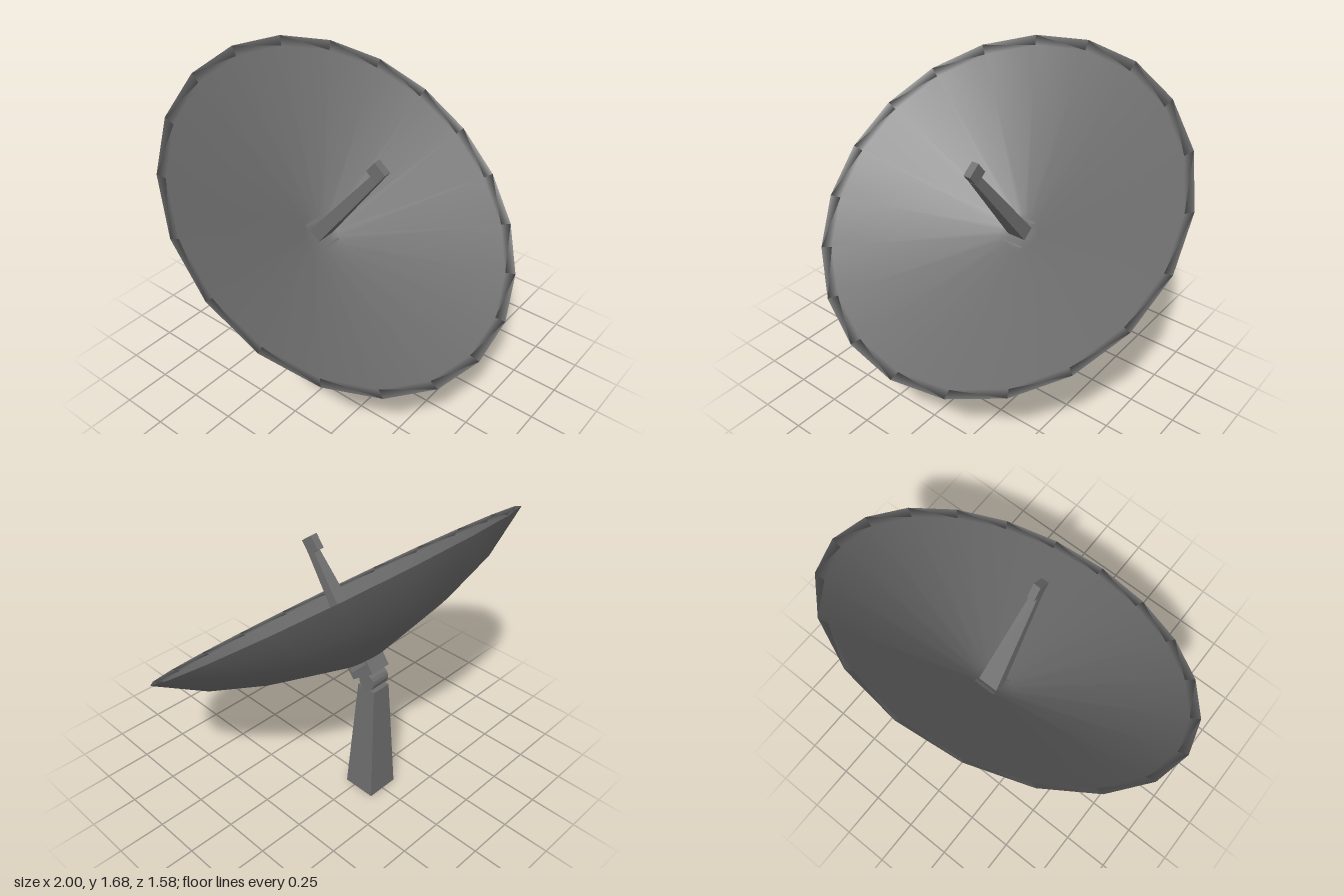
import * as THREE from 'three';
import { mergeVertices } from 'three/addons/utils/BufferGeometryUtils.js';

const material = new THREE.MeshStandardMaterial({ color: 0x6e6e6e, flatShading: true });
const smooth = new THREE.MeshStandardMaterial({ color: 0x6e6e6e });

function add(parent, name, geometry, x, y, z, mat = material) {
  const mesh = new THREE.Mesh(geometry, mat);
  mesh.name = name;
  mesh.position.set(x, y, z);
  parent.add(mesh);
}

// Four-sided post standing on y = 0 that narrows from base to top
function taperedPost(baseW, baseD, topW, topD, height) {
  const g = new THREE.BoxGeometry(1, height, 1).translate(0, height / 2, 0);
  const p = g.attributes.position;
  for (let i = 0; i < p.count; i++) {
    const t = p.getY(i) / height;
    p.setX(i, p.getX(i) * THREE.MathUtils.lerp(baseW, topW, t));
    p.setZ(i, p.getZ(i) * THREE.MathUtils.lerp(baseD, topD, t));
  }
  g.computeVertexNormals();
  return g;
}

// Closed shell: curved back from the centre to the rim, then a conical inside
function dishShell() {
  const back = [[0, -0.359], [0.11, -0.359], [0.51, -0.25], [0.77, -0.147], [1, 0]];
  const inside = [[0.95, -0.024], [0.11, -0.354], [0, -0.354]];
  const profile = [...back, ...inside].map(([r, y]) => new THREE.Vector2(r, y));
  const lathe = new THREE.LatheGeometry(profile, 20);
  // Shared vertices give normals weighted by face area
  lathe.deleteAttribute('normal');
  lathe.deleteAttribute('uv');
  const g = mergeVertices(lathe);
  g.computeVertexNormals();
  return g;
}

export function createModel() {
  const model = new THREE.Group();
  model.name = 'satelliteDish';

  // Pillar and hinge barrel
  add(model, 'pillar', taperedPost(0.18, 0.18, 0.108, 0.108, 0.66), 0, 0, -0.284);
  add(model, 'hinge', new THREE.CylinderGeometry(0.048, 0.048, 0.11, 16).rotateZ(Math.PI / 2), 0, 0.703, -0.285);

  // Tilted head: local y is the dish axis, origin at the rim centre
  const head = new THREE.Group();
  head.name = 'head';
  head.position.set(0, 1.069, 0);
  head.rotation.x = 0.663;
  model.add(head);

  add(head, 'dish', dishShell(), 0, 0, 0, smooth);

  // Feed arm and receiver
  add(head, 'feedArm', taperedPost(0.11, 0.078, 0.038, 0.048, 0.597), 0, -0.357, -0.007);
  add(head, 'receiver', new THREE.BoxGeometry(0.04, 0.08, 0.081), 0, 0.267, -0.0245);

  // U-shaped bracket behind the dish
  add(head, 'bracketPlate', new THREE.BoxGeometry(0.12, 0.034, 0.162), 0, -0.416, 0.002);
  for (const side of [-1, 1]) {
    add(head, 'bracketLeg', new THREE.BoxGeometry(0.12, 0.08, 0.014), 0, -0.393, 0.002 + side * 0.074);
  }

  return model;
}
